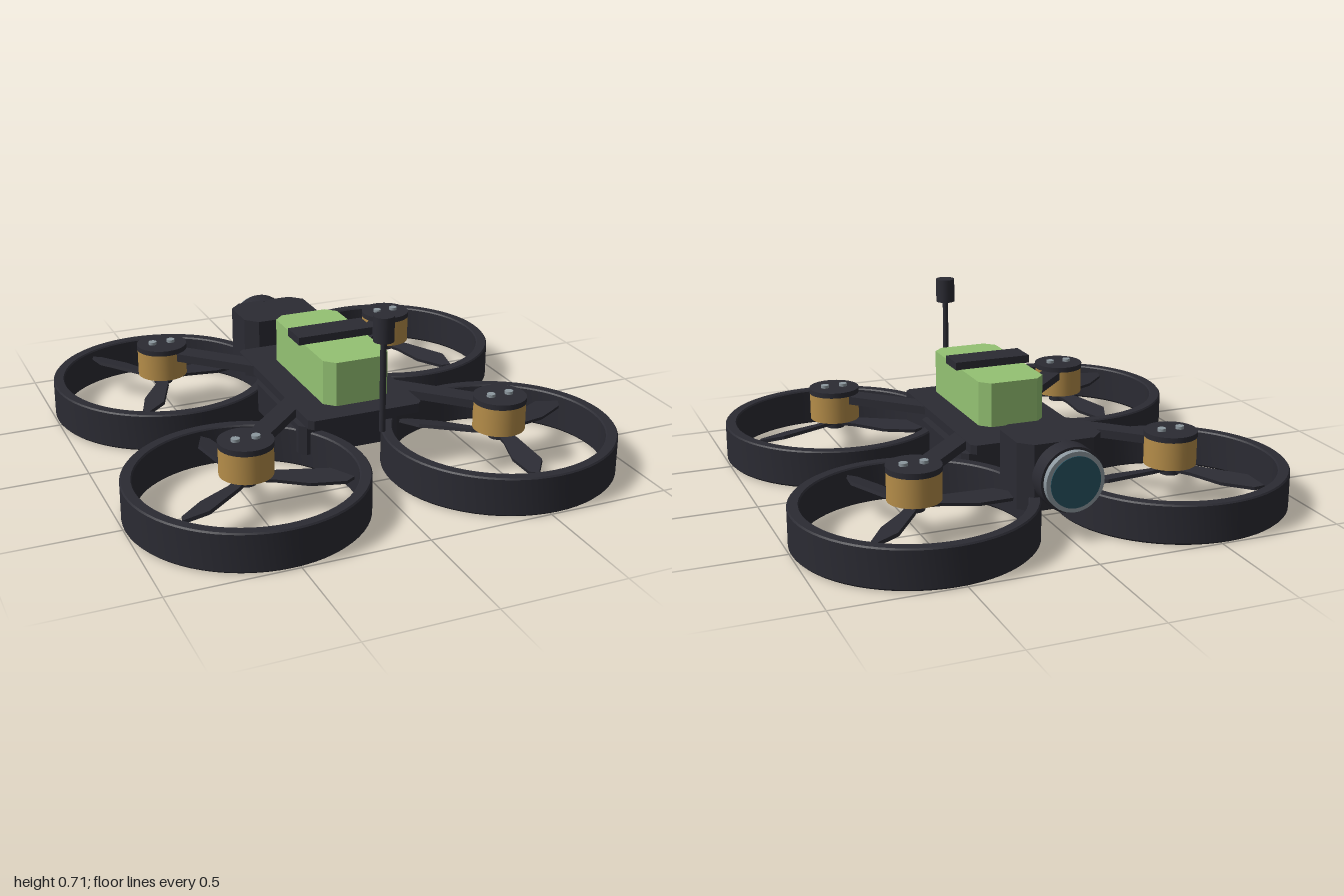
import * as THREE from 'three';
import { toCreasedNormals } from 'three/addons/utils/BufferGeometryUtils.js';

const mat = (name, color) => {
  const m = new THREE.MeshStandardMaterial({ color });
  m.name = name;
  return m;
};

export function createModel() {
  const dark = mat('charcoal', 0x2b2b33);
  const gold = mat('brass', 0xb58d49);
  const green = mat('battery green', 0x94c273);
  const silver = mat('silver', 0x8c979e);
  const teal = mat('lens teal', 0x265261);
  const model = new THREE.Group();
  model.name = 'quadcopter';

  const add = (parent, name, geometry, material, x = 0, y = 0, z = 0) => {
    const mesh = new THREE.Mesh(geometry, material);
    mesh.name = name;
    mesh.position.set(x, y, z);
    parent.add(mesh);
    return mesh;
  };

  // Flat outline in plan, raised by a height
  const slab = (points, height) => {
    const shape = new THREE.Shape(points.map(([x, y]) => new THREE.Vector2(x, y)));
    const g = new THREE.ExtrudeGeometry(shape, { depth: height, bevelEnabled: false });
    return g.rotateX(-Math.PI / 2);
  };
  // Box with cut vertical corners
  const cutBox = (w, d, height, c) => {
    const x = w / 2, y = d / 2;
    return slab([[x - c, -y], [x, -y + c], [x, y - c], [x - c, y],
      [-x + c, y], [-x, y - c], [-x, -y + c], [-x + c, -y]], height);
  };
  const cyl = (r, h, n = 32) => new THREE.CylinderGeometry(r, r, h, n);

  // Frame and battery
  add(model, 'deck', cutBox(0.48, 0.81, 0.037, 0.02), dark, 0, 0.234, 0.035);
  add(model, 'lowerBody', cutBox(0.44, 0.515, 0.12, 0.025), dark, 0, 0.063, 0.042);
  add(model, 'battery', cutBox(0.275, 0.58, 0.18, 0.04), green, 0, 0.283, 0.075);
  add(model, 'batteryStrap', new THREE.BoxGeometry(0.32, 0.032, 0.12), dark, 0, 0.478, 0.075);

  // Camera with its lens facing the back
  const camera = new THREE.Group();
  camera.name = 'camera';
  model.add(camera);
  add(camera, 'cameraHousing', cutBox(0.34, 0.26, 0.26, 0.05), dark, 0, 0.103, -0.56);
  const disc = (name, r, length, z, m) => {
    add(camera, name, cyl(r, length, 40).rotateX(Math.PI / 2), m, 0, 0.237, z);
  };
  disc('lensBarrel', 0.127, 0.09, -0.72, dark);
  disc('lensRim', 0.117, 0.03, -0.775, silver);
  disc('lensGlass', 0.1, 0.006, -0.791, teal);

  // Antenna
  add(model, 'antennaStem', cyl(0.012, 0.38, 12), dark, 0, 0.44, 0.575);
  add(model, 'antennaTip', cyl(0.04, 0.1, 24), dark, 0, 0.665, 0.575);

  // Shared rotor geometry
  const ringProfile = [[0.428, 0], [0.459, 0], [0.467, 0.008], [0.467, 0.152], [0.462, 0.158],
    [0.425, 0.158], [0.42, 0.152], [0.42, 0.008], [0.428, 0]].map(([r, y]) => new THREE.Vector2(r, y));
  const ringGeometry = toCreasedNormals(new THREE.LatheGeometry(ringProfile, 64), 0.5);
  const bladeGeometry = slab([[0.02, -0.015], [0.1, -0.015], [0.24, -0.036], [0.373, -0.02],
    [0.4, 0.008], [0.31, 0.058], [0.1, 0.042], [0.02, 0.025]], 0.014).rotateX(0.2);
  const armGeometry = new THREE.BoxGeometry(0.75, 0.034, 0.085);

  // Four rotors: side signs and propeller turn in degrees
  for (const [sx, sz, turn] of [[-1, -1, 4], [1, -1, 51], [-1, 1, 96], [1, 1, 22]]) {
    const rotor = new THREE.Group();
    rotor.name = (sz > 0 ? 'front' : 'back') + (sx > 0 ? 'Left' : 'Right') + 'Rotor';
    rotor.position.set(sx * 0.531, 0, sz * 0.531);
    model.add(rotor);

    add(rotor, 'guardRing', ringGeometry, dark);
    add(rotor, 'motor', cyl(0.104, 0.113), gold, 0, 0.2135, 0);
    add(rotor, 'motorCap', cyl(0.106, 0.022), dark, 0, 0.281, 0);
    for (const x of [-0.04, 0.04]) add(rotor, 'screw', cyl(0.017, 0.016, 16), silver, x, 0.296, 0);

    // Propeller below the motor
    add(rotor, 'propellerHub', cyl(0.04, 0.045, 20), dark, 0, 0.1375, 0);
    for (let i = 0; i < 3; i++) {
      const blade = add(rotor, 'propellerBlade', bladeGeometry, dark, 0, 0.128, 0);
      blade.rotation.y = THREE.MathUtils.degToRad(turn + i * 120);
    }

    // Diagonal arm towards the deck
    const arm = add(model, 'arm', armGeometry, dark, sx * 0.265, 0.2525, sz * 0.265);
    arm.rotation.y = -Math.atan2(sz, sx);
  }
  return model;
}
